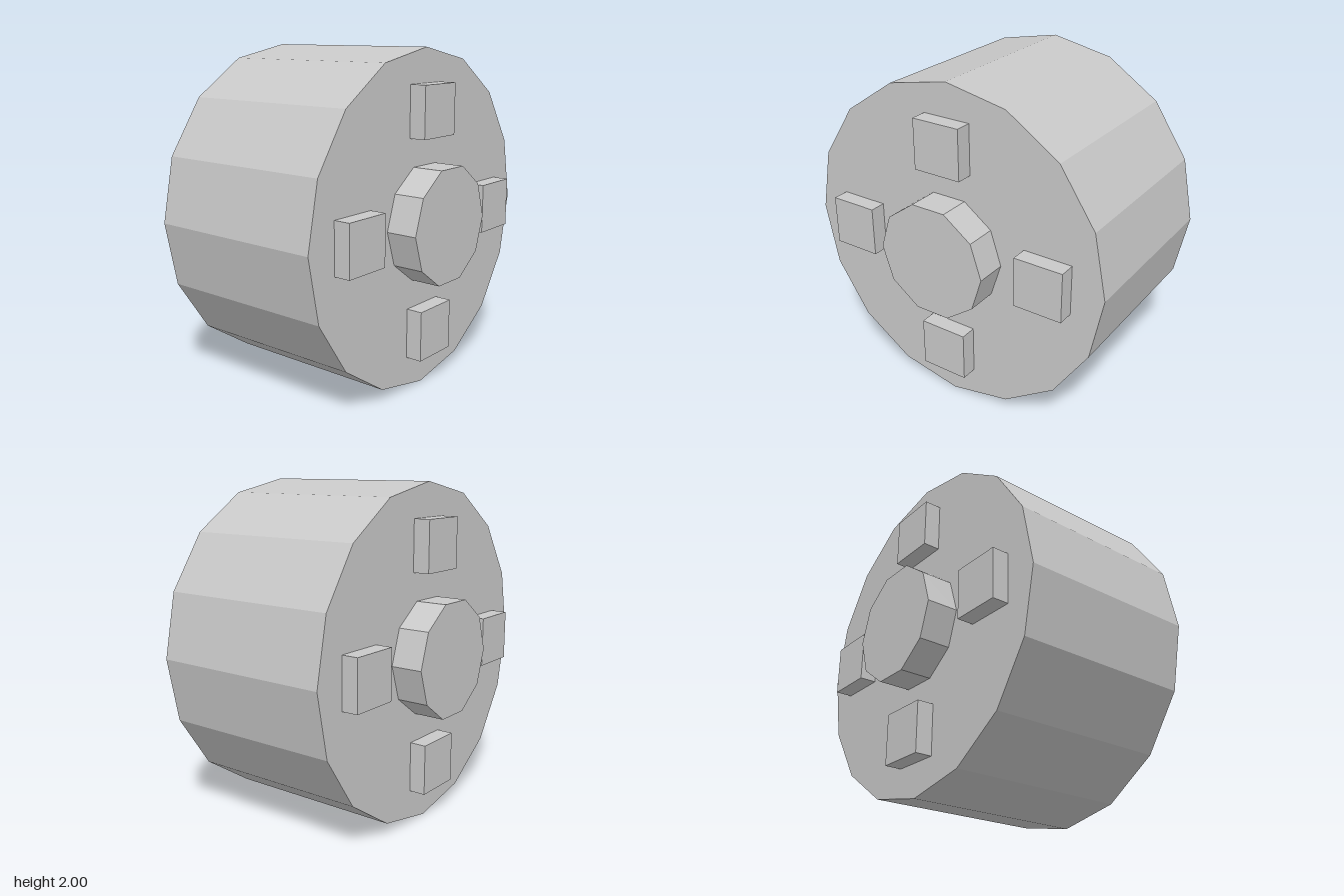
import * as THREE from 'three';

export function createModel() {
  const model = new THREE.Group();
  model.name = 'wheel';
  const grey = new THREE.MeshStandardMaterial({ color: 0xc8c8c8, flatShading: true });
  grey.name = 'light grey';

  const add = (name, geometry, x, y, z) => {
    const mesh = new THREE.Mesh(geometry, grey);
    mesh.name = name;
    mesh.position.set(x, y, z);
    model.add(mesh);
  };

  // Faceted drum with its axle along x
  const drum = (radius, width, sides) =>
    new THREE.CylinderGeometry(radius, radius, width, sides).rotateZ(Math.PI / 2);

  add('tyre', drum(1, 1.12, 16), 0, 1, 0);

  // Hub cap and four square lugs on each side
  const hub = drum(0.35, 0.19, 10);
  const lug = new THREE.BoxGeometry(0.1, 0.3, 0.3);
  for (const [side, s] of [['left', 1], ['right', -1]]) {
    add(side + 'Hub', hub, s * 0.655, 1, 0);
    for (let i = 0; i < 4; i++) {
      const a = (i * Math.PI) / 2;
      add(side + 'Lug' + (i + 1), lug, s * 0.61, 1 + 0.65 * Math.cos(a), 0.65 * Math.sin(a));
    }
  }
  return model;
}
